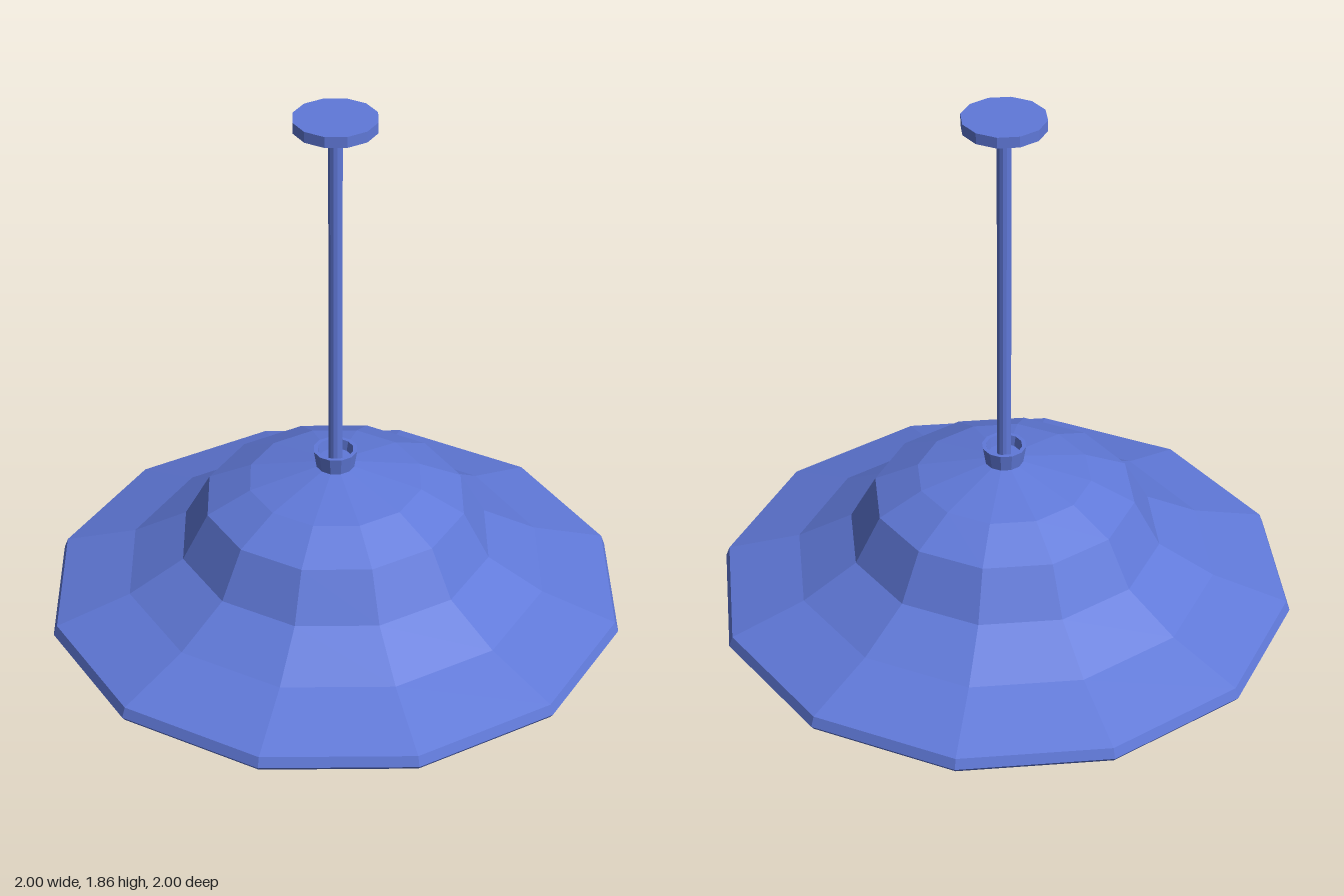
import * as THREE from 'three';

// Faceted solid of revolution; the profile is [radius, height] pairs, bottom to top on outer faces
function turned(name, profile, sides, material) {
  const points = profile.map(([r, y]) => new THREE.Vector2(r, y));
  const geometry = new THREE.LatheGeometry(points, sides).toNonIndexed();
  geometry.computeVertexNormals();
  const mesh = new THREE.Mesh(geometry, material);
  mesh.name = name;
  return mesh;
}

export function createModel() {
  const blue = new THREE.MeshStandardMaterial({ color: 0x6079d9 });
  blue.name = 'blue enamel';
  const red = new THREE.MeshStandardMaterial({ color: 0xe04a2e });
  red.name = 'red bulb';

  const lamp = new THREE.Group();
  lamp.name = 'pendantLamp';

  // Shade: hollow lining from the ceiling down to the rim, then the stepped bell outside
  lamp.add(turned('shade', [
    [0, 0.53], [0.29, 0.465], [0.425, 0.4], [0.52, 0.235], [0.72, 0.122], [0.935, 0.045], [0.975, 0],
    [0.99, 0.006], [1, 0.02], [0.987, 0.055], [0.73, 0.14],
    [0.54, 0.25], [0.45, 0.415], [0.3, 0.489], [0, 0.558],
  ], 12, blue));

  // Collar: a small cup flaring towards its top
  lamp.add(turned('collar', [
    [0.064, 0.53], [0.076, 0.605], [0.062, 0.605], [0.055, 0.57], [0, 0.57],
  ], 12, blue));

  // Hanging rod and ceiling plate
  lamp.add(turned('rod', [[0.024, 0.55], [0.024, 1.825]], 12, blue));
  lamp.add(turned('ceilingPlate', [[0, 1.817], [0.14, 1.817], [0.14, 1.855], [0, 1.855]], 12, blue));

  // Socket and bulb with a pointed end and narrow neck
  lamp.add(turned('socket', [[0, 0.43], [0.064, 0.43], [0.064, 0.53]], 12, blue));
  lamp.add(turned('bulb', [
    [0, 0.045], [0.087, 0.11], [0.09, 0.2], [0.052, 0.31], [0.06, 0.43],
  ], 10, red));

  return lamp;
}
